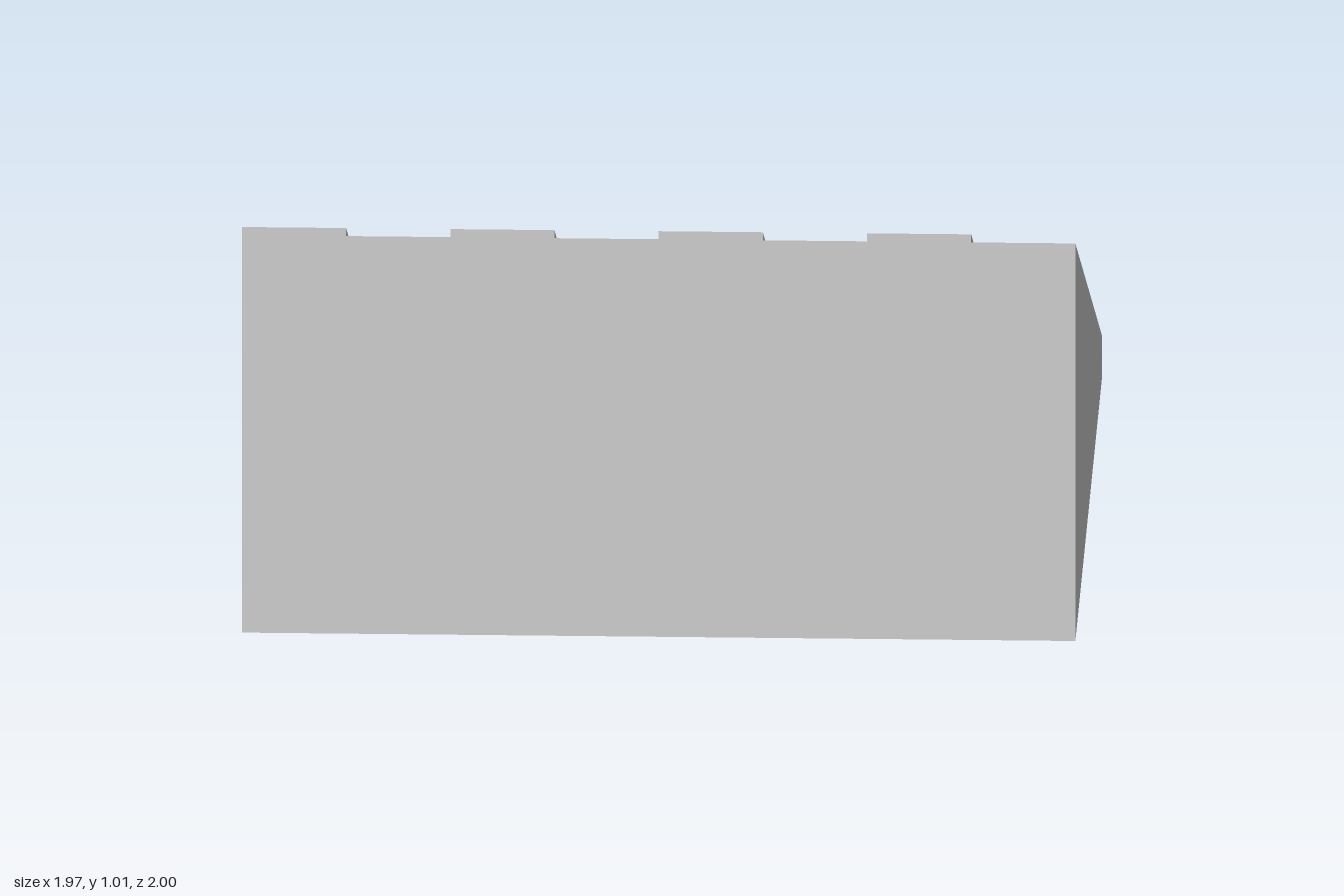
import * as THREE from 'three';
import { mergeGeometries } from 'three/addons/utils/BufferGeometryUtils.js';

const HALF = 0.985, STRIPS = 8, STEP = (2 * HALF) / STRIPS;

// side profiles as [z, y], from the front foot over the slope to the back foot
const LOW = [[1, 0], [1, 0.99], [-0.973, 0.102], [-0.973, 0]];
const HIGH = [[1, 0], [1, 1.01], [-0.973, 0.124], [-1, 0.124], [-1, 0]];
// the part of the high profile that stands proud of the low one
const PROUD = [[1, 0.99], [1, 1.01], [-0.973, 0.124], [-1, 0.124], [-1, 0], [-0.973, 0], [-0.973, 0.102]];

// closed ribbon of faces following a profile between two x positions
function ribbon(profile, x0, x1) {
  const pos = [];
  profile.forEach((a, i) => {
    const b = profile[(i + 1) % profile.length];
    const [p, q, r, s] = [[x0, a], [x1, a], [x1, b], [x0, b]].map(([x, [z, y]]) => [x, y, z]);
    pos.push(...p, ...q, ...r, ...p, ...r, ...s);
  });
  const geo = new THREE.BufferGeometry();
  geo.setAttribute('position', new THREE.Float32BufferAttribute(pos, 3));
  return geo;
}

// flat cap at x, facing -x or +x
function cap(profile, x, facing) {
  const shape = new THREE.Shape(profile.map(([z, y]) => new THREE.Vector2(z, y)));
  const geo = new THREE.ShapeGeometry(shape);
  if (facing > 0) geo.index.array.reverse();
  geo.rotateY(-Math.PI / 2).translate(x, 0, 0);
  const flat = geo.toNonIndexed();
  flat.deleteAttribute('uv');
  flat.deleteAttribute('normal');
  return flat;
}

export function createModel() {
  const group = new THREE.Group();
  group.name = 'slopedRoof';
  const material = new THREE.MeshStandardMaterial({ color: 0xcccccc, flatShading: true });

  // alternating raised and recessed boards running down the slope
  for (let i = 0; i < STRIPS; i++) {
    const raised = i % 2 === 0;
    const x0 = -HALF + i * STEP, x1 = x0 + STEP;
    const parts = [ribbon(raised ? HIGH : LOW, x0, x1)];
    if (raised) {
      parts.push(cap(i === 0 ? HIGH : PROUD, x0, -1), cap(PROUD, x1, 1));
    } else if (i === STRIPS - 1) {
      parts.push(cap(LOW, x1, 1));
    }
    const geo = mergeGeometries(parts);
    geo.computeVertexNormals();
    const mesh = new THREE.Mesh(geo, material);
    mesh.name = (raised ? 'raisedBoard' : 'recessedBoard') + (i + 1);
    group.add(mesh);
  }
  return group;
}
